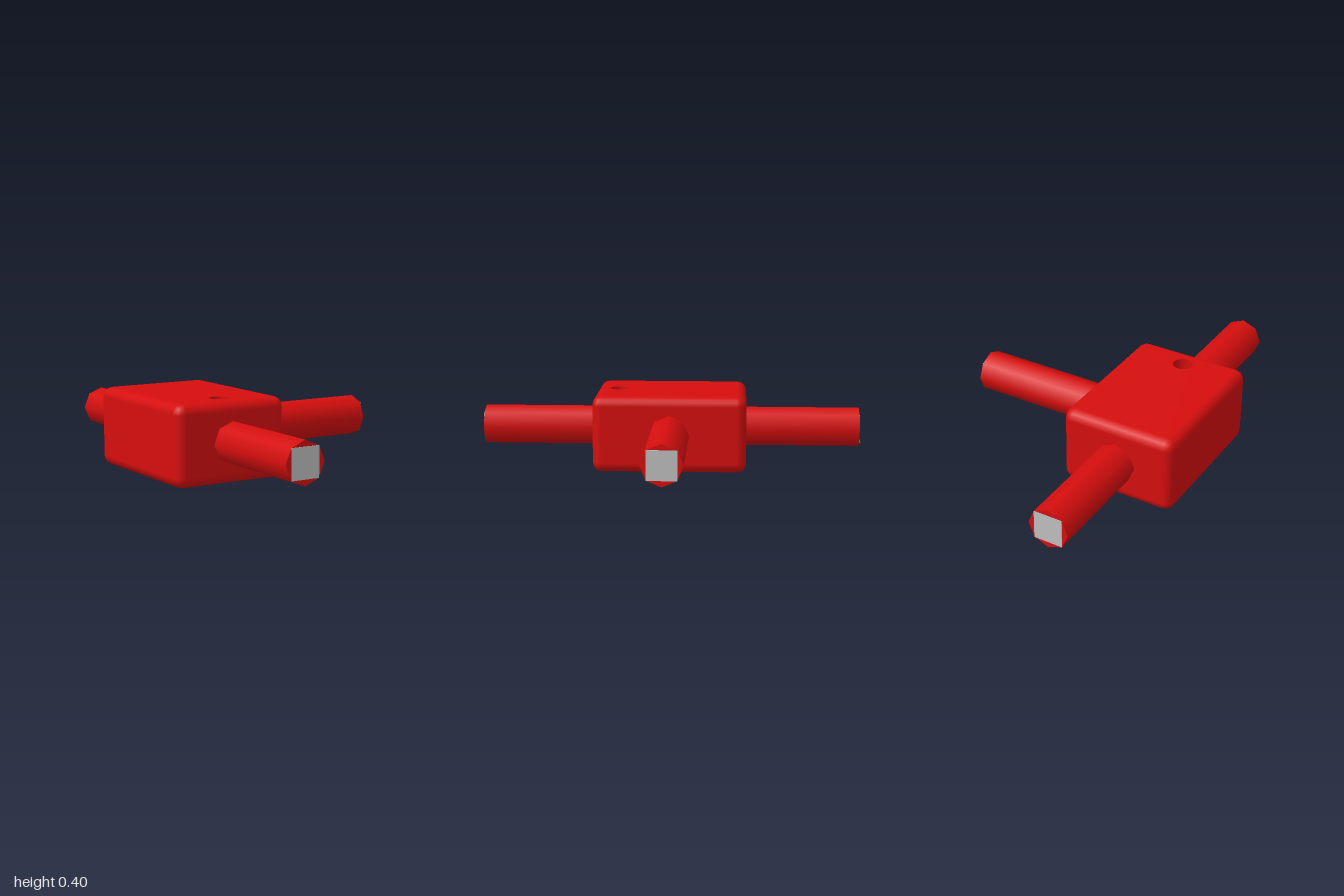
import * as THREE from 'three';
import { RoundedBoxGeometry } from 'three/addons/geometries/RoundedBoxGeometry.js';

const red = new THREE.MeshStandardMaterial({ color: 0xd60e0e });
red.name = 'red';
const grey = new THREE.MeshStandardMaterial({ color: 0xc0c0c0 });
grey.name = 'grey';
const navy = new THREE.MeshStandardMaterial({ color: 0x14203a });
navy.name = 'navy';
const redInside = red.clone();
redInside.name = 'red inside';
redInside.side = THREE.BackSide;

const W = 0.6, H = 0.4, D = 0.8, R = 0.05;   // body size and edge radius
const CX = -0.35, CY = 0.202;                // body centre
const HOLE_Z = 0.275, HOLE_R = 0.05, HOLE_DEPTH = 0.1;
const ROD_R = 0.104;

function add(parent, name, geometry, material, x = 0, y = 0, z = 0) {
  const mesh = new THREE.Mesh(geometry, material);
  mesh.name = name;
  mesh.position.set(x, y, z);
  parent.add(mesh);
  return mesh;
}

// Rounded box with its flat top left out, so the top can have a hole
function openTopBox() {
  const box = new RoundedBoxGeometry(W, H, D, 2, R);
  const p = box.attributes.position, n = box.attributes.normal;
  const pos = [], nor = [];
  for (let i = 0; i < p.count; i += 3) {
    const flatTop = [0, 1, 2].every((k) => p.getY(i + k) > H / 2 - 1e-5);
    if (flatTop) continue;
    for (let k = i; k < i + 3; k++) {
      pos.push(p.getX(k), p.getY(k), p.getZ(k));
      nor.push(n.getX(k), n.getY(k), n.getZ(k));
    }
  }
  const g = new THREE.BufferGeometry();
  g.setAttribute('position', new THREE.Float32BufferAttribute(pos, 3));
  g.setAttribute('normal', new THREE.Float32BufferAttribute(nor, 3));
  return g;
}

// Flat top panel with the round hole
function topPanel() {
  const w = W / 2 - R, d = D / 2 - R;
  const shape = new THREE.Shape();
  shape.moveTo(-w, -d).lineTo(w, -d).lineTo(w, d).lineTo(-w, d).closePath();
  shape.holes.push(new THREE.Path().absarc(0, -HOLE_Z, HOLE_R, 0, Math.PI * 2, true));
  return new THREE.ShapeGeometry(shape, 12).rotateX(-Math.PI / 2);
}

// Eight-sided rod pointing along +z, with a square grey end plate
function makeRod(name, length, turn) {
  const rod = new THREE.Group();
  rod.name = name;
  const start = 0.2, end = length - 0.002;
  const bar = new THREE.CylinderGeometry(ROD_R, ROD_R, end - start, 8).rotateX(Math.PI / 2);
  add(rod, name + 'Bar', bar, red, 0, 0, (start + end) / 2);
  const side = ROD_R * Math.SQRT2;
  add(rod, name + 'EndPlate', new THREE.BoxGeometry(side, side, 0.004), grey, 0, 0, length - 0.002);
  rod.position.set(CX, CY, 0);
  rod.rotation.y = turn;
  return rod;
}

export function createModel() {
  const model = new THREE.Group();
  model.name = 'threeWayConnector';

  // Body
  const body = new THREE.Group();
  body.name = 'body';
  body.position.set(CX, CY, 0);
  model.add(body);
  add(body, 'bodyShell', openTopBox(), red);
  add(body, 'bodyTop', topPanel(), red, 0, H / 2, 0);

  // Round hole in the top
  add(body, 'holeWall', new THREE.CylinderGeometry(HOLE_R, HOLE_R, HOLE_DEPTH, 24, 1, true),
    redInside, 0, H / 2 - HOLE_DEPTH / 2, HOLE_Z);
  add(body, 'holeFloor', new THREE.CircleGeometry(HOLE_R, 24).rotateX(-Math.PI / 2),
    red, 0, H / 2 - HOLE_DEPTH, HOLE_Z);

  // Dark disc underneath
  add(body, 'bottomDisc', new THREE.CylinderGeometry(HOLE_R, HOLE_R, 0.004, 24),
    navy, 0, -H / 2, HOLE_Z);

  // Rods to the front, back and left
  model.add(makeRod('frontRod', 1, 0));
  model.add(makeRod('backRod', 1, Math.PI));
  model.add(makeRod('leftRod', 1, Math.PI / 2));
  return model;
}
